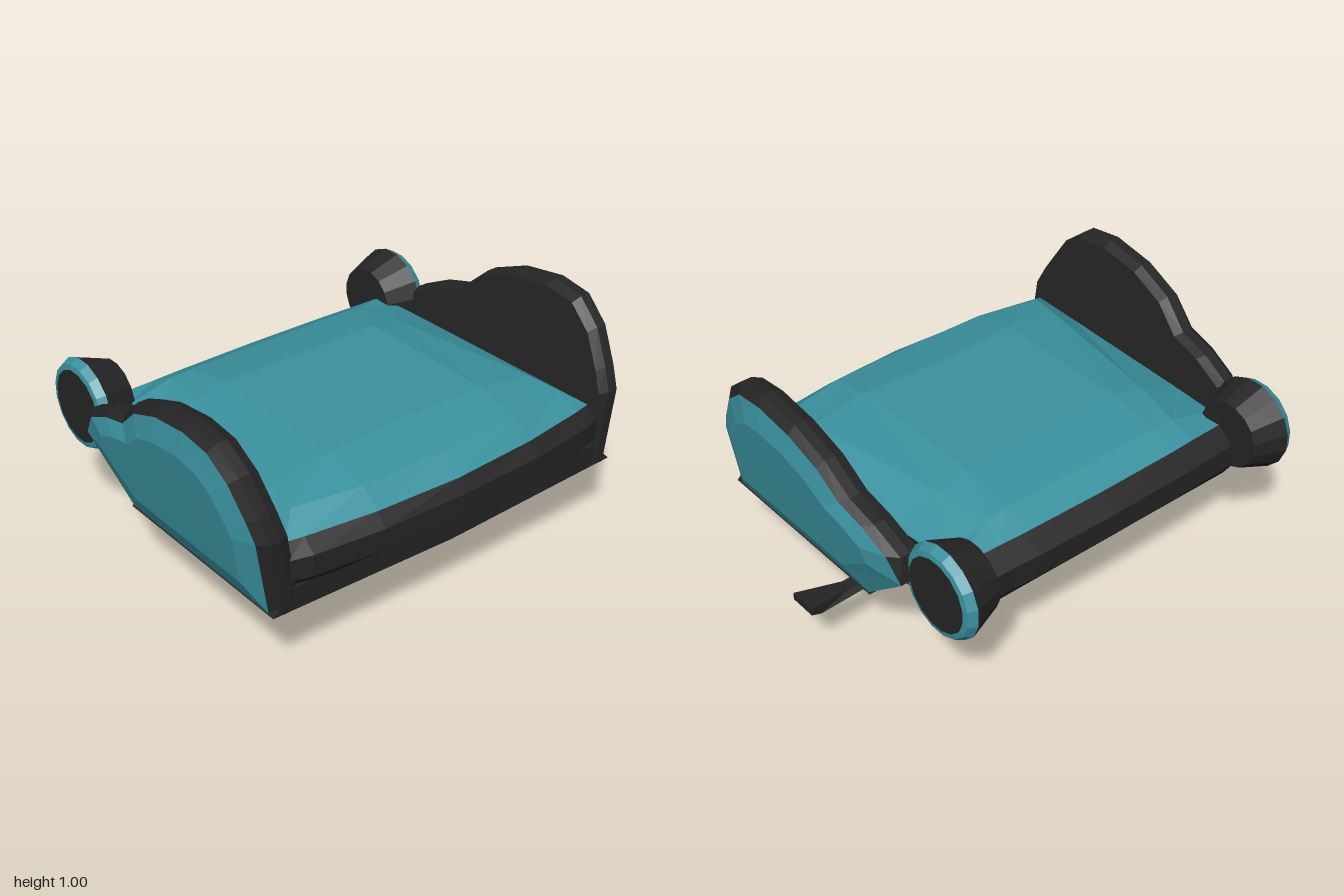
import * as THREE from 'three';

const teal = new THREE.MeshStandardMaterial({ color: 0x3a919f });
teal.name = 'teal upholstery';
const black = new THREE.MeshStandardMaterial({ color: 0x252525 });
black.name = 'black trim';
const gray = new THREE.MeshStandardMaterial({ color: 0x828282, side: THREE.DoubleSide });
gray.name = 'gray metal';
for (const m of [teal, black, gray]) m.flatShading = true;

// Closed loft through rings of [x, y, z]; isTeal(i, j) picks the colour of each quad.
// Caps are fans round the given centres. Faces are turned outward by signed volume.
function loft(name, rings, isTeal, caps, tealCaps = [false, false]) {
  const parts = [[], []];
  const add = (t, ...tri) => parts[t ? 0 : 1].push(tri);
  const n = rings[0].length;
  for (let i = 0; i < rings.length - 1; i++) {
    for (let j = 0; j < n; j++) {
      const k = (j + 1) % n, t = isTeal(i, j);
      const a = rings[i][j], b = rings[i + 1][j], c = rings[i + 1][k], d = rings[i][k];
      add(t, a, b, c);
      add(t, a, c, d);
    }
  }
  const last = rings[rings.length - 1];
  for (let j = 0; j < n; j++) {
    const k = (j + 1) % n;
    add(tealCaps[0], caps[0], rings[0][j], rings[0][k]);
    add(tealCaps[1], caps[1], last[k], last[j]);
  }
  const v = (p) => new THREE.Vector3(...p);
  let volume = 0;
  for (const [a, b, c] of parts.flat()) volume += v(a).dot(v(b).cross(v(c)));
  const geo = new THREE.BufferGeometry();
  const pos = [];
  parts.forEach((tris, m) => {
    geo.addGroup(pos.length / 3, tris.length * 3, m);
    for (const [a, b, c] of tris) pos.push(...a, ...(volume < 0 ? c : b), ...(volume < 0 ? b : c));
  });
  geo.setAttribute('position', new THREE.Float32BufferAttribute(pos, 3));
  geo.computeVertexNormals();
  const mesh = new THREE.Mesh(geo, [teal, black]);
  mesh.name = name;
  return mesh;
}

// Cushion: each row is z, y at the centre, then z and y toward the side, then two side widths
function cushion() {
  const rows = [ // z0, zMid, zShoulder, zEdge, y, yShoulder, yEdge, xShoulder, xEdge
    [0.70, 0.70, 0.69, 0.68, 0.40, 0.40, 0.41, 0.68, 0.74],
    [0.78, 0.77, 0.735, 0.71, 0.46, 0.46, 0.46, 0.68, 0.77],
    [0.78, 0.77, 0.735, 0.71, 0.55, 0.55, 0.55, 0.68, 0.77],
    [0.74, 0.72, 0.68, 0.665, 0.60, 0.60, 0.60, 0.68, 0.755],
    [0.645, 0.64, 0.585, 0.65, 0.67, 0.665, 0.60, 0.665, 0.755],
    [0.42, 0.44, 0.44, 0.44, 0.715, 0.675, 0.60, 0.64, 0.75],
    [-0.22, -0.22, -0.22, -0.22, 0.715, 0.685, 0.61, 0.53, 0.72],
    [-0.45, -0.45, -0.45, -0.45, 0.675, 0.67, 0.615, 0.485, 0.705],
    [-0.56, -0.555, -0.55, -0.545, 0.62, 0.62, 0.62, 0.50, 0.70],
    [-0.64, -0.635, -0.63, -0.625, 0.56, 0.56, 0.56, 0.50, 0.69],
    [-0.64, -0.635, -0.63, -0.625, 0.46, 0.46, 0.46, 0.50, 0.68],
    [-0.58, -0.58, -0.58, -0.58, 0.39, 0.39, 0.39, 0.50, 0.67],
    [-0.49, -0.49, -0.49, -0.49, 0.35, 0.35, 0.35, 0.50, 0.67],
    [-0.20, -0.20, -0.20, -0.20, 0.34, 0.34, 0.35, 0.50, 0.72],
  ];
  const column = (c, s) => rows.map((r) => [
    s * [0, 0.38, r[7], r[8]][c], [r[4], r[4], r[5], r[6]][c], r[c],
  ]);
  const rings = [
    ...[3, 2, 1].map((c) => column(c, -1)), column(0, 1), ...[1, 2, 3].map((c) => column(c, 1)),
  ];
  return loft('seatCushion', rings, (i, j) => j >= 3 && j <= 7,
    [[-0.72, 0.48, 0], [0.72, 0.48, 0]]);
}

// Shallow V-bottomed pan under the cushion
function pan() {
  const section = [[-0.85, 0.338], [0, 0.31], [0.85, 0.338], [0.76, 0.43], [-0.76, 0.43]];
  const rings = [0.715, -0.2].map((z) => section.map(([x, y]) => [x, y, z]));
  return loft('seatPan', rings, (i, j) => j < 2, [[0, 0.37, 0.715], [0, 0.37, -0.2]]);
}

// Side panel: outline in (z, y), leaning outward, with a raised outer cover
function sidePanel(s) {
  const outline = [
    [0.72, 0.34], [0.72, 0.66], [0.68, 0.75], [0.60, 0.89], [0.49, 0.98], [0.34, 1.0],
    [0.14, 0.97], [-0.03, 0.90], [-0.15, 0.79], [-0.29, 0.75], [-0.43, 0.68], [-0.46, 0.57],
    [-0.20, 0.34],
  ];
  const cz = 0.2, cy = 0.62;
  const at = (base, y, z) => [s * (base + 0.15 * (y - 0.34)), y, z];
  const ring = (base, sz, sy, keepBottom) => outline.map(([z, y], i) => {
    const low = keepBottom && (i === 0 || i > 10);
    return at(base, low ? y : cy + (y - cy) * sy, low && i > 10 ? z + 0.01 : cz + (z - cz) * sz);
  });
  const rings = [
    ring(0.725, 0.97, 0.95, true), ring(0.765, 1, 1, true), ring(0.81, 1, 1, true),
    ring(0.845, 0.925, 0.9, true), ring(0.88, 0.74, 0.63, false),
  ];
  return loft(s > 0 ? 'leftSidePanel' : 'rightSidePanel', rings, (i) => i === 3,
    [at(0.725, cy, cz), at(0.882, cy, cz)], [false, true]);
}

// Round hinge: tapered black hub, teal rim, black end plate
function hinge(s) {
  const ring = (x, r) => Array.from({ length: 16 }, (_, k) => {
    const a = ((k + 0.5) / 16) * Math.PI * 2;
    return [s * x, 0.6 + r * Math.sin(a), -0.595 + r * Math.cos(a)];
  });
  const rings = [ring(0.655, 0.145), ring(0.795, 0.197), ring(0.83, 0.178), ring(0.835, 0.155)];
  return loft(s > 0 ? 'leftHinge' : 'rightHinge', rings, (i) => i > 0,
    [[s * 0.655, 0.6, -0.595], [s * 0.835, 0.6, -0.595]]);
}

function extrude(points, depth) {
  const shape = new THREE.Shape(points.map(([x, y]) => new THREE.Vector2(x, y)));
  return new THREE.ExtrudeGeometry(shape, { depth, bevelEnabled: false }).translate(0, 0, -depth / 2);
}

export function createModel() {
  const model = new THREE.Group();
  model.name = 'seat';

  const body = new THREE.Group();
  body.name = 'seatBody';
  body.position.x = -0.045;
  body.add(cushion(), pan());
  for (const s of [1, -1]) body.add(sidePanel(s), hinge(s));
  model.add(body);

  // Mount block under the pan
  const block = new THREE.Mesh(extrude([
    [-0.14, 0.34], [-0.14, 0.23], [-0.12, 0.212], [0.10, 0.212], [0.13, 0.25], [0.13, 0.34],
  ], 0.36).rotateY(Math.PI / 2), black);
  block.name = 'mountBlock';
  block.position.x = -0.04;
  model.add(block);

  // Open-ended post
  const post = new THREE.Mesh(new THREE.CylinderGeometry(0.077, 0.077, 0.22, 14, 1, true), gray);
  post.name = 'post';
  post.position.set(-0.045, 0.11, 0.02);
  model.add(post);

  // Lever with a root block, thin rod and flared paddle
  const root = new THREE.Mesh(extrude(
    [[0.12, 0.23], [0.26, 0.23], [0.23, 0.265], [0.20, 0.295], [0.12, 0.295]], 0.12), black);
  root.name = 'leverRoot';
  root.position.z = -0.025;
  const geo = extrude([
    [0.2, 0.25], [0.8, 0.243], [0.95, 0.243], [1, 0.268], [1, 0.3], [0.8, 0.268], [0.2, 0.268],
  ], 1);
  const p = geo.attributes.position;
  for (let i = 0; i < p.count; i++) {
    const flare = Math.max(0, (p.getX(i) - 0.8) / 0.2);
    p.setZ(i, p.getZ(i) * (0.05 + 0.07 * flare));
  }
  geo.computeVertexNormals();
  const lever = new THREE.Mesh(geo, black);
  lever.name = 'lever';
  lever.position.z = -0.03;
  model.add(root, lever);

  return model;
}
